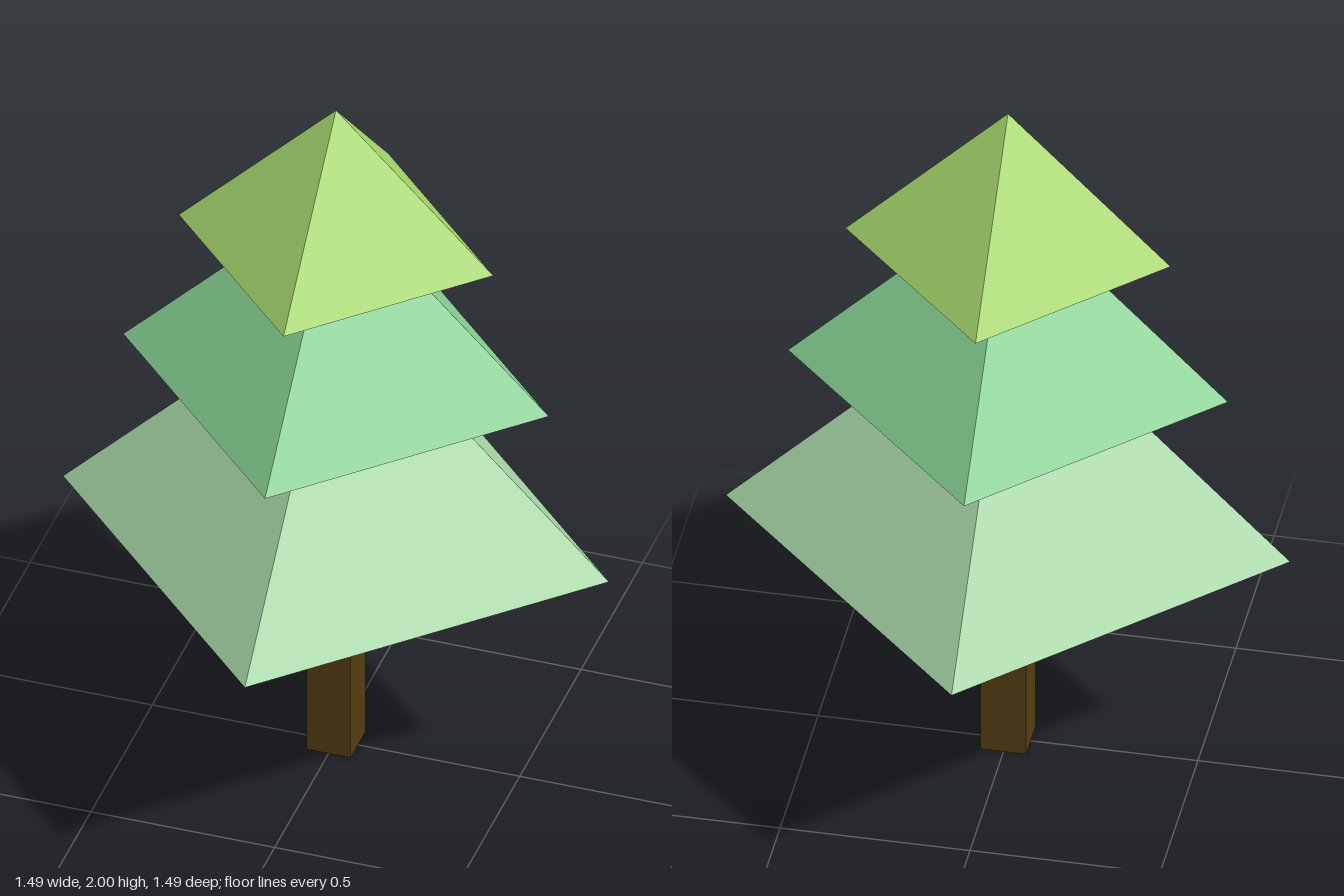
import * as THREE from 'three';

const material = (name, color) => {
  const m = new THREE.MeshStandardMaterial({ color, flatShading: true });
  m.name = name;
  return m;
};

export function createModel() {
  const tree = new THREE.Group();
  tree.name = 'pineTree';

  const add = (name, geometry, mat, y) => {
    const mesh = new THREE.Mesh(geometry, mat);
    mesh.name = name;
    mesh.position.y = y;
    tree.add(mesh);
  };

  // Square trunk, ending flush with the lowest tier
  const trunkHeight = 0.672;
  add('trunk', new THREE.BoxGeometry(0.12, trunkHeight, 0.12),
    material('darkBrown', 0x533c11), trunkHeight / 2);

  // Four-sided foliage tiers with corners on the axes, as tall as their radius
  const tiers = [
    ['lowerFoliage', 0.743, 0.672, material('paleGreen', 0xa8d8a8)],
    ['middleFoliage', 0.579, 1.16, material('mintGreen', 0x89d394)],
    ['topFoliage', 0.428, 1.572, material('limeGreen', 0xa7d86d)],
  ];
  for (const [name, size, base, mat] of tiers) {
    add(name, new THREE.ConeGeometry(size, size, 4), mat, base + size / 2);
  }

  return tree;
}
